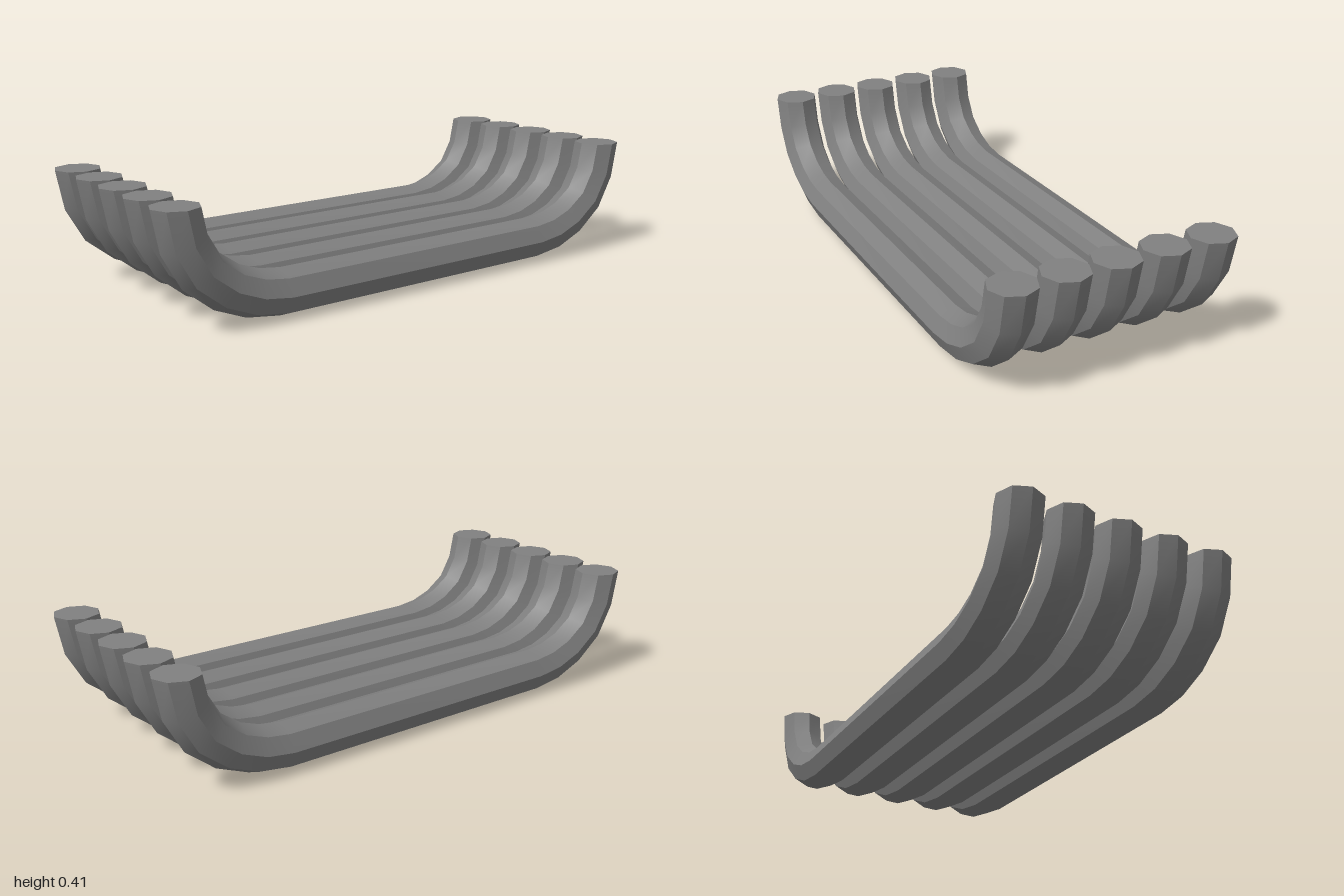
import * as THREE from 'three';
import { toCreasedNormals } from 'three/addons/utils/BufferGeometryUtils.js';

const SIDES = 8, RADIUS = 0.081, BARS = 5, SPACING = 0.178;

// Centre line of one upturned end, from the tip down to the straight run
const BEND = [[0.919, 0.413], [0.896, 0.297], [0.84, 0.199], [0.752, 0.132], [0.658, 0.095], [0.557, 0.081]];

// Octagonal bar swept along the centre line, with flat end caps
function barGeometry() {
  const half = BEND.map(([x, y], k) => {
    const a = (k / (BEND.length - 1)) * Math.PI / 2;
    return { x, y, nx: Math.cos(a), ny: -Math.sin(a) };
  });
  const path = [...half.map(p => ({ ...p, x: -p.x, nx: -p.nx })), ...half.slice().reverse()];

  const positions = [], index = [];
  for (const p of path) {
    for (let j = 0; j < SIDES; j++) {
      const a = (j / SIDES) * Math.PI * 2;
      const out = RADIUS * Math.cos(a);
      positions.push(p.x + p.nx * out, p.y + p.ny * out, RADIUS * Math.sin(a));
    }
  }
  const id = (i, j) => i * SIDES + (j % SIDES);
  const last = path.length - 1;
  for (let i = 0; i < last; i++) {
    for (let j = 0; j < SIDES; j++) {
      index.push(id(i, j), id(i + 1, j), id(i, j + 1));
      index.push(id(i, j + 1), id(i + 1, j), id(i + 1, j + 1));
    }
  }
  for (let j = 1; j < SIDES - 1; j++) {
    index.push(id(0, 0), id(0, j), id(0, j + 1));
    index.push(id(last, 0), id(last, j + 1), id(last, j));
  }
  const geometry = new THREE.BufferGeometry();
  geometry.setAttribute('position', new THREE.Float32BufferAttribute(positions, 3));
  geometry.setIndex(index);
  // Smooth along the bends, sharp between the eight sides
  return toCreasedNormals(geometry, 0.55);
}

export function createModel() {
  const group = new THREE.Group();
  group.name = 'grate';
  const material = new THREE.MeshStandardMaterial({ color: 0x808080 });
  const geometry = barGeometry();

  // Row of identical bars, front to back
  for (let i = 0; i < BARS; i++) {
    const bar = new THREE.Mesh(geometry, material);
    bar.name = `grateBar${i + 1}`;
    bar.position.z = ((BARS - 1) / 2 - i) * SPACING;
    group.add(bar);
  }
  return group;
}
